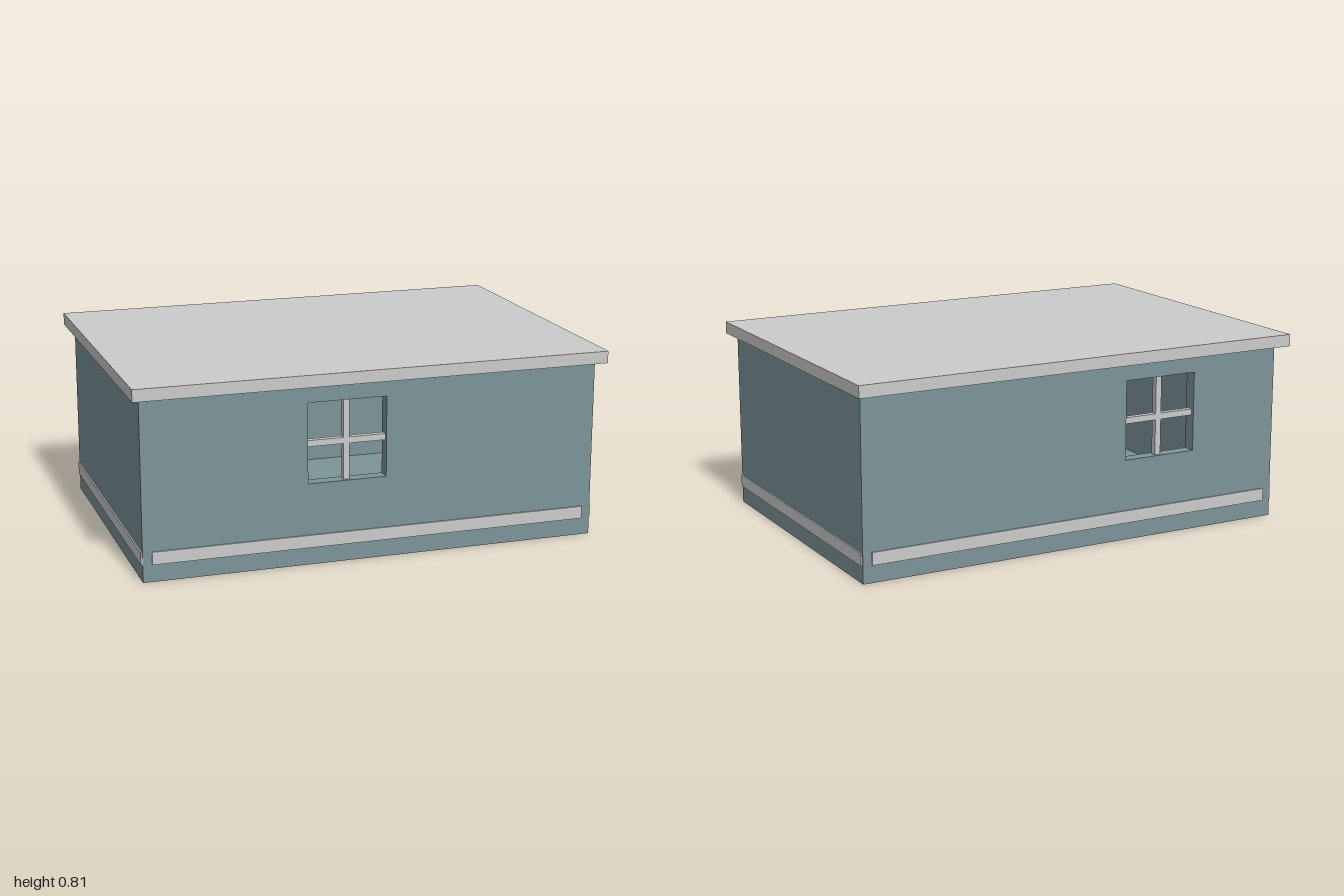
import * as THREE from 'three';

const grey = new THREE.MeshStandardMaterial({ color: 0xcccccc });
const wallPaint = new THREE.MeshStandardMaterial({ color: 0x7c949a });

const X0 = -0.963, X1 = 0.97, Z = 0.643; // outer wall faces
const H = 0.757, T = 0.055;              // wall height and thickness
const WIN = { w: 0.332, y0: 0.343, y1: 0.68 };

export function createModel() {
  const group = new THREE.Group();
  group.name = 'building';

  // Box given by its extents along each axis
  function box(name, [x0, x1], [y0, y1], [z0, z1], material) {
    const mesh = new THREE.Mesh(new THREE.BoxGeometry(x1 - x0, y1 - y0, z1 - z0), material);
    mesh.position.set((x0 + x1) / 2, (y0 + y1) / 2, (z0 + z1) / 2);
    mesh.name = name;
    group.add(mesh);
  }

  // Long wall with a window opening, crossed glazing bars and a trim strip
  function windowWall(side, sign, windowX) {
    const l = windowX - WIN.w / 2, r = windowX + WIN.w / 2;
    const shape = new THREE.Shape([
      new THREE.Vector2(X0, 0), new THREE.Vector2(X1, 0),
      new THREE.Vector2(X1, H), new THREE.Vector2(X0, H),
    ]);
    shape.holes.push(new THREE.Path([
      new THREE.Vector2(l, WIN.y0), new THREE.Vector2(l, WIN.y1),
      new THREE.Vector2(r, WIN.y1), new THREE.Vector2(r, WIN.y0),
    ]));
    const wall = new THREE.Mesh(
      new THREE.ExtrudeGeometry(shape, { depth: T, bevelEnabled: false }), wallPaint);
    wall.position.z = sign > 0 ? Z - T : -Z;
    wall.name = side + 'Wall';
    group.add(wall);

    const zc = sign * (Z - T / 2), yc = (WIN.y0 + WIN.y1) / 2 - 0.005, b = 0.013;
    const depth = [zc - b, zc + b];
    box(side + 'WindowMullion', [windowX - b, windowX + b], [WIN.y0, WIN.y1], depth, grey);
    box(side + 'WindowCrossbar', [l, r], [yc - b, yc + b], depth, grey);

    const zs = [sign * (Z - 0.01), sign * (Z + 0.006)].sort((a, c) => a - c);
    box(side + 'Trim', [-0.925, 0.932], [0.073, 0.126], zs, grey);
  }
  windowWall('front', 1, -0.112);
  windowWall('back', -1, -0.39);

  // Plain end walls with their trim strips
  const inner = [-Z + T, Z - T];
  box('rightWall', [X0, X0 + T], [0, H], inner, wallPaint);
  box('leftWall', [X1 - T, X1], [0, H], inner, wallPaint);
  box('rightTrim', [X0 - 0.006, X0 + 0.01], [0.073, 0.126], [-0.638, 0.638], grey);
  box('leftTrim', [X1 - 0.01, X1 + 0.006], [0.073, 0.126], [-0.638, 0.638], grey);

  // Floor inside the walls and overhanging flat roof
  box('floor', [X0 + T, X1 - T], [0, 0.05], inner, wallPaint);
  box('roof', [-1, 1], [H, 0.808], [-0.702, 0.702], grey);

  return group;
}
